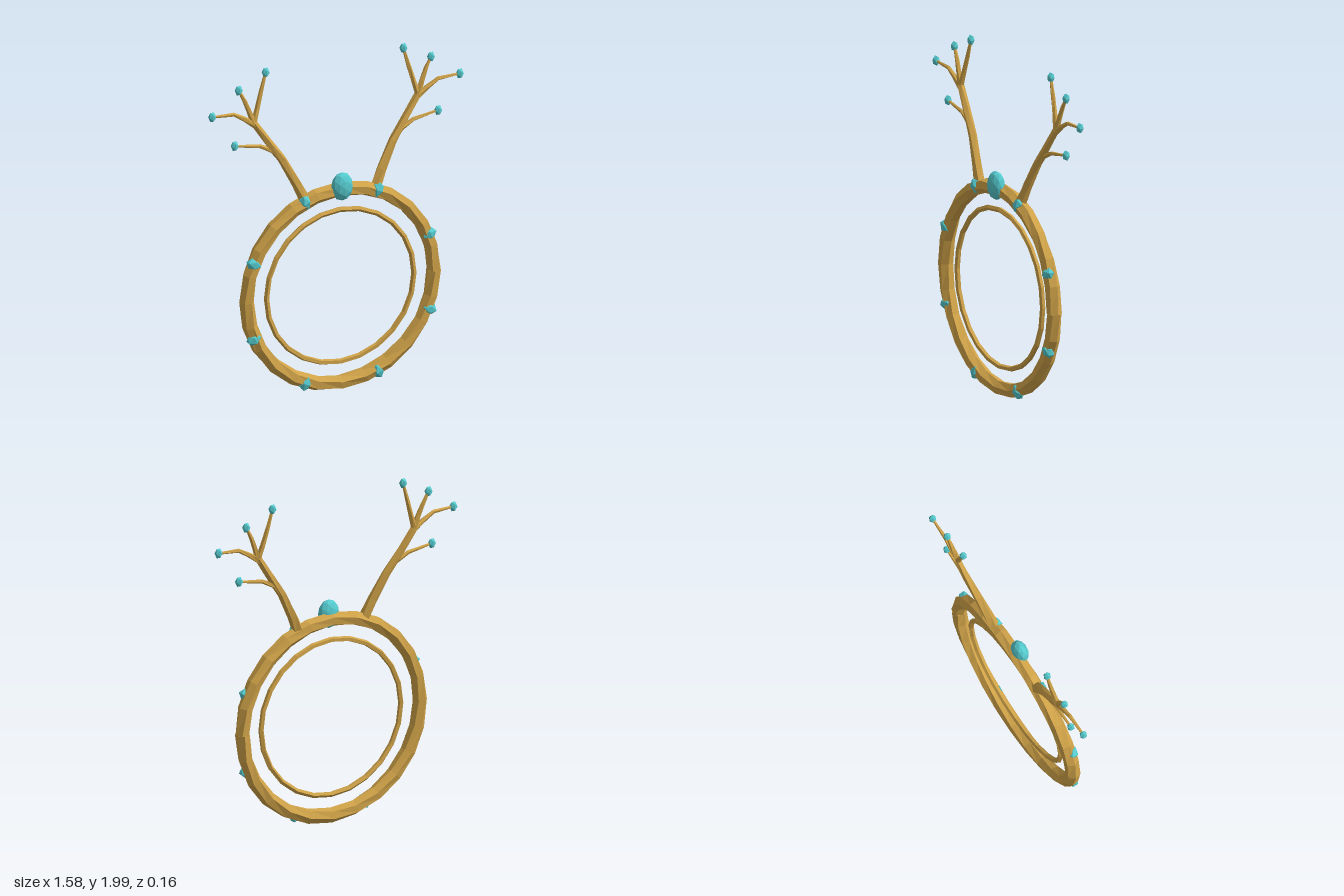
import * as THREE from 'three';

const gold = new THREE.MeshStandardMaterial({ color: 0xcfa248 });
gold.name = 'gold';
const teal = new THREE.MeshStandardMaterial({ color: 0x55cace });
teal.name = 'turquoise';

const CY = 0.633, CZ = 0.01; // centre of the rings

// Faceted tube through points lying near the xy plane, with a radius per point
function sweep(points, radii, sides, twist = 0, closed = false) {
  const pos = [], idx = [], n = points.length;
  points.forEach((p, i) => {
    const prev = points[i > 0 ? i - 1 : closed ? n - 2 : 0];
    const next = points[i < n - 1 ? i + 1 : closed ? 1 : n - 1];
    const t = next.clone().sub(prev).setZ(0).normalize();
    for (let j = 0; j < sides; j++) {
      const a = (j / sides) * Math.PI * 2 + (twist * i) / (n - 1);
      const c = Math.cos(a) * radii[i];
      pos.push(p.x - t.y * c, p.y + t.x * c, p.z + Math.sin(a) * radii[i]);
    }
  });
  for (let i = 0; i < n - 1; i++) {
    for (let j = 0; j < sides; j++) {
      const k = (j + 1) % sides;
      const a = i * sides + j, b = i * sides + k, c = b + sides, d = a + sides;
      idx.push(a, b, c, a, c, d);
    }
  }
  const e = (n - 1) * sides;
  for (let j = 1; j < sides - 1; j++) {
    idx.push(0, j + 1, j, e, e + j, e + j + 1);
  }
  const g = new THREE.BufferGeometry();
  g.setAttribute('position', new THREE.Float32BufferAttribute(pos, 3));
  g.setIndex(idx);
  return facet(g);
}

function facet(geometry) {
  const g = geometry.index ? geometry.toNonIndexed() : geometry;
  g.computeVertexNormals();
  return g;
}

function add(parent, name, geometry, material) {
  const mesh = new THREE.Mesh(geometry, material);
  mesh.name = name;
  parent.add(mesh);
  return mesh;
}

function ring(radius, tube, segments, sides, twist) {
  const pts = [], radii = [];
  for (let i = 0; i <= segments; i++) {
    const a = (i / segments) * Math.PI * 2;
    pts.push(new THREE.Vector3(radius * Math.cos(a), CY + radius * Math.sin(a), CZ));
    radii.push(tube);
  }
  return sweep(pts, radii, sides, twist, true);
}

// Antler limbs: each point is x, y, z, radius
const limbs = {
  antlerStem: [[0.215, 1.18, 0.01, 0.034], [0.265, 1.29, -0.003, 0.029], [0.345, 1.44, -0.022, 0.025], [0.43, 1.56, -0.035, 0.023], [0.515, 1.685, -0.046, 0.021]],
  lowerTine: [[0.335, 1.425, -0.022, 0.02], [0.40, 1.50, -0.03, 0.016], [0.48, 1.54, -0.034, 0.012], [0.635, 1.566, -0.037, 0.007]],
  outerTine: [[0.505, 1.67, -0.045, 0.02], [0.57, 1.715, -0.045, 0.015], [0.64, 1.755, -0.044, 0.012], [0.773, 1.762, -0.043, 0.007]],
  middleTine: [[0.51, 1.675, -0.045, 0.02], [0.54, 1.76, -0.05, 0.015], [0.565, 1.82, -0.054, 0.013], [0.60, 1.888, -0.058, 0.008]],
  innerTine: [[0.515, 1.675, -0.045, 0.018], [0.488, 1.76, -0.052, 0.015], [0.46, 1.86, -0.058, 0.013], [0.43, 1.968, -0.062, 0.008]],
};

function antler(side) {
  const group = new THREE.Group();
  group.name = side > 0 ? 'leftAntler' : 'rightAntler';
  for (const [name, path] of Object.entries(limbs)) {
    const pts = path.map(([x, y, z]) => new THREE.Vector3(side * x, y, z));
    add(group, name, sweep(pts, path.map((p) => p[3]), 5, side * 0.9), gold);
    if (name !== 'antlerStem') {
      const gem = add(group, name + 'Gem', new THREE.IcosahedronGeometry(0.024), teal);
      gem.scale.set(0.95, 1.35, 0.95);
      gem.position.copy(pts[pts.length - 1]);
    }
  }
  return group;
}

export function createModel() {
  const model = new THREE.Group();
  model.name = 'antlerRing';

  // Twisted outer frame and slim inner hoop
  add(model, 'outerRing', ring(0.584, 0.043, 24, 6, 4.5), gold);
  add(model, 'innerRing', ring(0.46, 0.016, 24, 5, 1.2), gold);

  // Small gems set across the front of the frame
  for (let i = 0; i < 8; i++) {
    const a = ((i + 0.5) / 8) * Math.PI * 2;
    const gem = add(model, 'frameGem', new THREE.IcosahedronGeometry(1), teal);
    gem.scale.set(0.048, 0.036, 0.034);
    gem.rotation.z = a;
    gem.position.set(0.592 * Math.cos(a), CY + 0.592 * Math.sin(a), 0.028);
  }

  // Large oval gem at the crown
  const crown = add(model, 'crownGem', facet(new THREE.IcosahedronGeometry(1, 1)), teal);
  crown.scale.set(0.065, 0.085, 0.046);
  crown.position.set(0, 1.24, 0.036);

  model.add(antler(1), antler(-1));
  return model;
}
